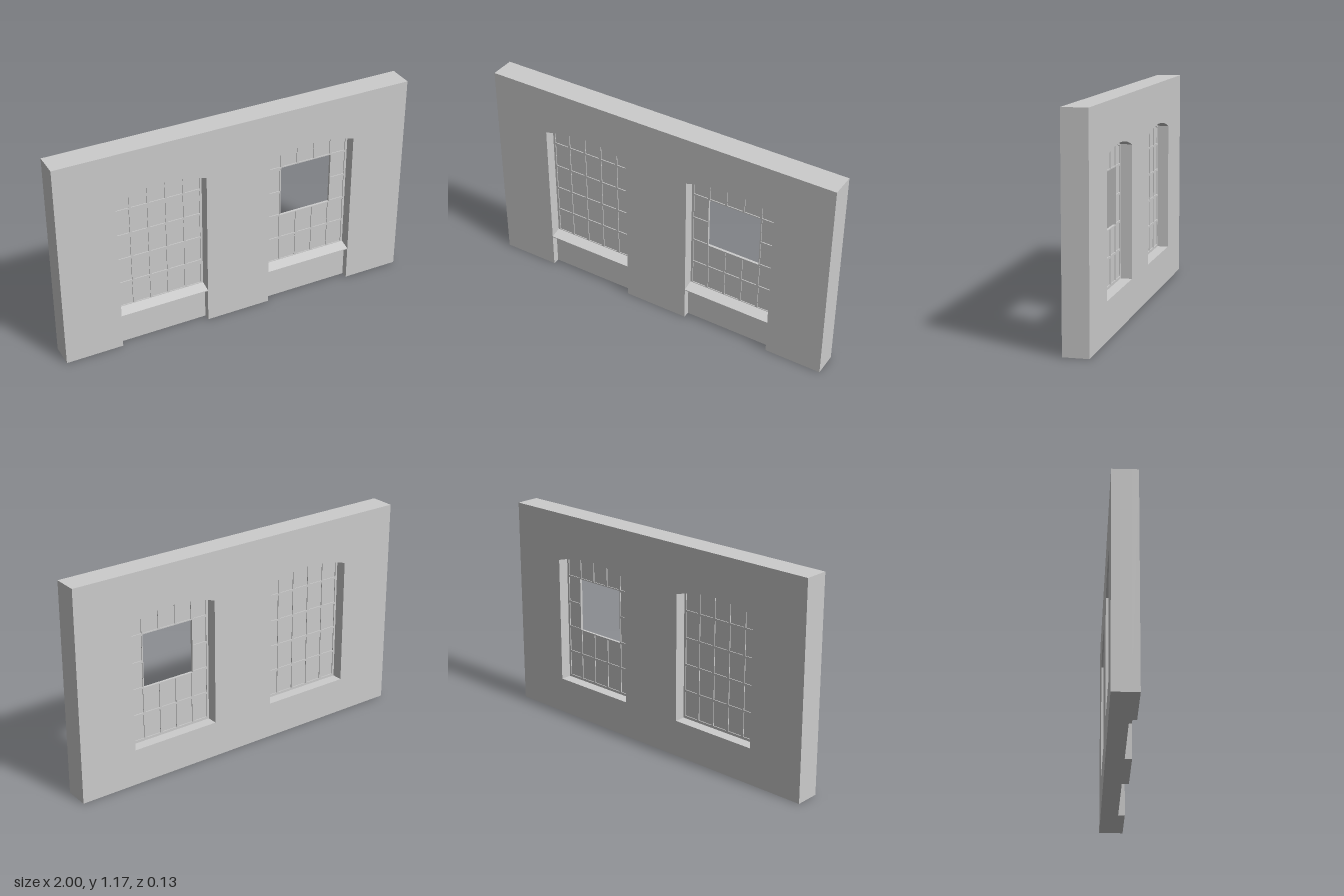
import * as THREE from 'three';

const HALF_DEPTH = 0.067, STEP_Z = 0.03; // wall half thickness, face of the recessed apron
const HEIGHT = 1.167, HALF_W = 0.25, SILL_Y = 0.2, APEX_Y = 0.941, SAG = 0.04;
const RADIUS = (HALF_W * HALF_W + SAG * SAG) / (2 * SAG);
const CENTRES = [-0.4325, 0.4325];
const BAR = 0.006; // half width of a glazing bar
const COLS = [-0.25, -0.15, -0.05, 0.05, 0.15, 0.25];
const ROWS = [0.208, 0.355, 0.502, 0.649, 0.798];

const material = new THREE.MeshStandardMaterial({ color: 0xcccccc, flatShading: true });
const archY = (x) => APEX_Y - RADIUS + Math.sqrt(RADIUS * RADIUS - x * x);
const toPoints = (pairs) => pairs.map(([x, y]) => new THREE.Vector2(x, y));
const rectPoints = (x0, x1, y0, y1) => toPoints([[x0, y0], [x0, y1], [x1, y1], [x1, y0]]);

// Outline with a flat bottom and a top following the shallow arch
function archPoints(x0, x1, y0, drop = 0, cx = 0, n = 16) {
  const pts = [new THREE.Vector2(cx + x0, y0)];
  for (let i = 0; i <= n; i++) {
    const x = x0 + ((x1 - x0) * i) / n;
    pts.push(new THREE.Vector2(cx + x, archY(x) - drop));
  }
  pts.push(new THREE.Vector2(cx + x1, y0));
  return pts;
}

// Flat plate between two depths; outline counter-clockwise, holes clockwise
function slab(name, outline, holes, z0, z1) {
  const ccw = THREE.ShapeUtils.isClockWise(outline) ? [...outline].reverse() : outline;
  const shape = new THREE.Shape(ccw);
  shape.holes = holes.map((pts) => new THREE.Path(pts));
  const geometry = new THREE.ExtrudeGeometry(shape, { depth: z1 - z0, bevelEnabled: false });
  geometry.translate(0, 0, z0);
  const mesh = new THREE.Mesh(geometry, material);
  mesh.name = name;
  return mesh;
}

function createWindow(broken) {
  const group = new THREE.Group();
  const outline = archPoints(-HALF_W, HALF_W, SILL_Y);
  // Six middle panes are missing from the broken window
  const gap = broken ? [rectPoints(COLS[1], COLS[4], ROWS[2], ROWS[4])] : [];

  // Lattice: one plate pierced by the pane openings
  const cells = [...gap];
  for (let c = 0; c < 5; c++) {
    const x0 = COLS[c] + (c === 0 ? 2 * BAR : BAR);
    const x1 = COLS[c + 1] - (c === 4 ? 2 * BAR : BAR);
    for (let r = 0; r < 5; r++) {
      if (broken && c > 0 && c < 4 && (r === 2 || r === 3)) continue;
      const y0 = ROWS[r] + BAR;
      cells.push(r === 4
        ? archPoints(x0, x1, y0, 2 * BAR, 0, 5)
        : rectPoints(x0, x1, y0, ROWS[r + 1] - BAR));
    }
  }
  group.add(slab('glazingBars', outline, cells, -0.007, 0.007));

  // Panes: a thin sheet inside the lattice
  group.add(slab('panes', outline, gap, -0.002, 0.002));

  // Sloping sill, flush with the wall face
  const profile = toPoints([[-HALF_DEPTH, 0.19], [0, 0.19], [0, 0.212], [-HALF_DEPTH, 0.195]]);
  const sill = slab('sill', profile, [], -HALF_W, HALF_W);
  sill.geometry.rotateY(Math.PI / 2);
  group.add(sill);
  return group;
}

export function createModel() {
  const model = new THREE.Group();
  model.name = 'windowWall';

  // Rear layer, with closed window openings
  const openings = CENTRES.map((cx) => archPoints(-HALF_W, HALF_W, SILL_Y, 0, cx));
  model.add(slab('rearWall', rectPoints(-1, 1, 0, HEIGHT), openings, -HALF_DEPTH, STEP_Z));

  // Front layer, with bays running down to the floor
  const bays = CENTRES.flatMap((cx) => archPoints(-HALF_W, HALF_W, 0, 0, cx));
  const front = [...toPoints([[-1, 0]]), ...bays, ...toPoints([[1, 0], [1, HEIGHT], [-1, HEIGHT]])];
  model.add(slab('frontWall', front, [], STEP_Z, HALF_DEPTH));

  CENTRES.forEach((cx, i) => {
    const win = createWindow(i === 1);
    win.name = i === 1 ? 'leftWindow' : 'rightWindow';
    win.position.x = cx;
    model.add(win);
  });
  return model;
}
